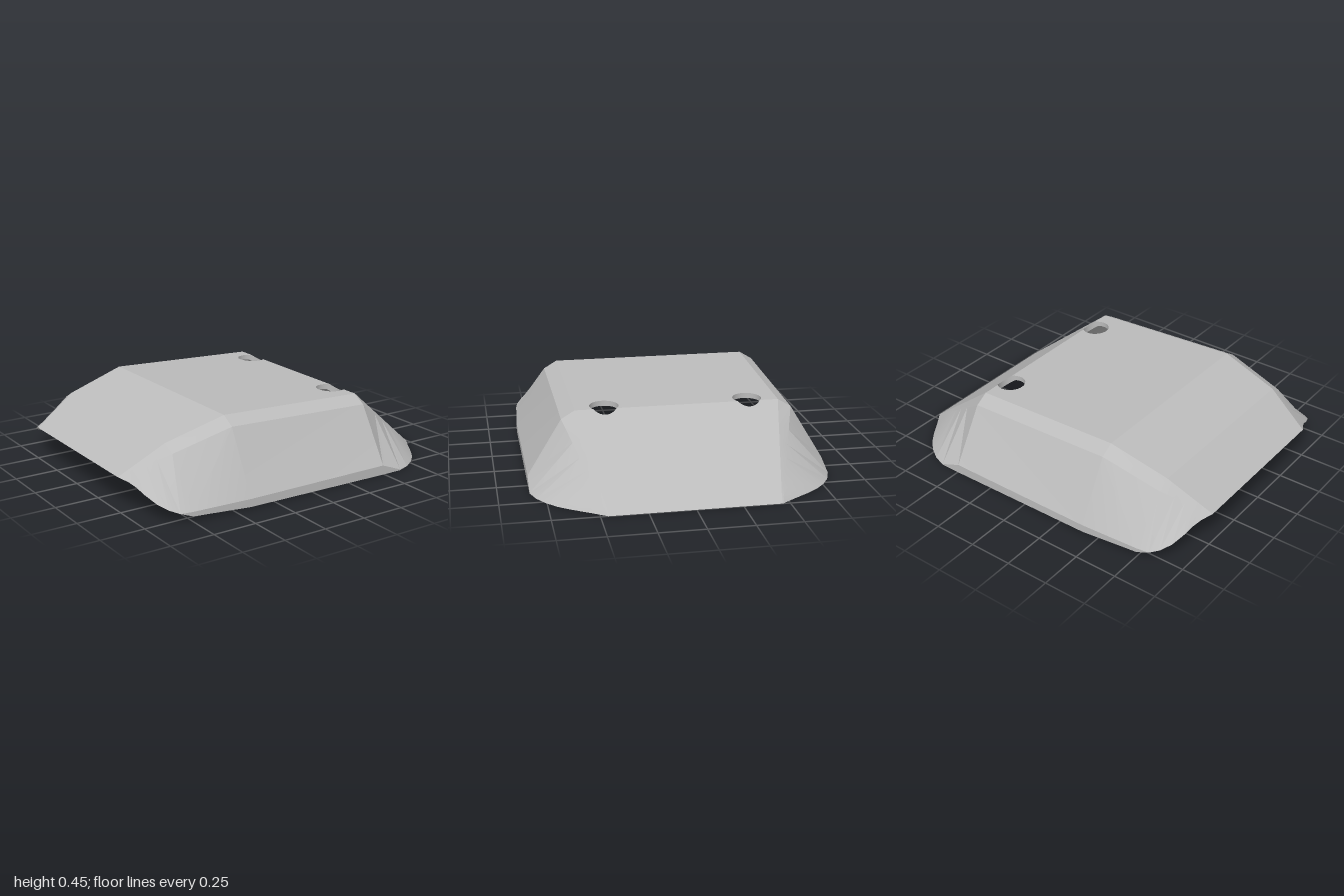
import * as THREE from 'three';
import { toCreasedNormals } from 'three/addons/utils/BufferGeometryUtils.js';

// Ridge lines along x: [x, top edge z, top y, shoulder z, shoulder y]
const RIDGE = [
  [-1, 0.48, 0.19, 0.48, 0.19],
  [-0.75, 0.54, 0.345, 0.61, 0.305],
  [-0.41, 0.575, 0.445, 0.65, 0.4],
  [0.49, 0.565, 0.41, 0.64, 0.365],
  [1, 0.455, 0, 0.46, 0],
];
// Open lower rim: [x, half width z, lower edge y, upper edge y of the upright band]
const RIM = [
  [-1, 0.48, 0.19, 0.19], [-0.97, 0.54, 0.175, 0.175], [-0.95, 0.59, 0.155, 0.155],
  [-0.94, 0.64, 0.135, 0.135], [-0.91, 0.72, 0.1, 0.1], [-0.87, 0.77, 0.075, 0.075],
  [-0.82, 0.8, 0.055, 0.055], [-0.75, 0.81, 0.03, 0.055], [-0.41, 0.83, 0.01, 0.055],
  [0.49, 0.83, 0, 0.055], [0.62, 0.83, 0, 0.005], [0.7, 0.8, 0, 0], [0.77, 0.755, 0, 0],
  [0.83, 0.7, 0, 0], [0.88, 0.635, 0, 0], [0.92, 0.575, 0, 0], [0.95, 0.53, 0, 0], [1, 0.46, 0, 0],
];
const OUTER = [1, 1, 1];
const INNER = [0.97, 0.93, 0.97]; // the inner skin is the outer one, shrunk
const HOLE = { x: 0.44, z: 0.4, r: 0.08 };
const CREASE = 3; // index of the rear edge in RIDGE that crosses the holes

function ridgeAt(x) {
  let i = 0;
  while (i < RIDGE.length - 2 && x > RIDGE[i + 1][0]) i++;
  const a = RIDGE[i], b = RIDGE[i + 1];
  const t = (x - a[0]) / (b[0] - a[0]);
  return a.map((v, k) => v + (b[k] - v) * t);
}
const topY = (x, s) => ridgeAt(x / s[0])[2] * s[1];

function meshOf(name, geometry, material) {
  const mesh = new THREE.Mesh(geometry, material);
  mesh.name = name;
  return mesh;
}

function surface(points, indices) {
  const g = new THREE.BufferGeometry();
  g.setAttribute('position', new THREE.Float32BufferAttribute(points.flat(), 3));
  g.setIndex(indices);
  return toCreasedNormals(g, 0.3);
}

// One flank: chamfer, sloped wall, upright band, rim and inner skin
function flankGeometry(side) {
  const points = [], indices = [];
  for (const [x, zr, yr, yb] of RIM) {
    const [, zt, yt, zs, ys] = ridgeAt(x);
    const outer = [[x, yt, zt], [x, ys, zs], [x, yb, zr], [x, yr, zr]];
    const inner = outer.map((p) => p.map((v, k) => v * INNER[k])).reverse();
    for (const [px, py, pz] of [...outer, ...inner]) points.push([px, py, pz * side]);
  }
  for (let i = 0; i < RIM.length - 1; i++) {
    for (let j = 0; j < 7; j++) {
      const a = i * 8 + j, b = a + 1, c = a + 8, d = a + 9;
      if (side > 0) indices.push(a, b, c, b, d, c);
      else indices.push(a, c, b, b, c, d);
    }
  }
  return surface(points, indices);
}

// Flat top panel between two ridge stations, notched where the holes cross the crease
function panelGeometry(i, s) {
  const [a, b] = [RIDGE[i], RIDGE[i + 1]];
  const xa = a[0] * s[0], xb = b[0] * s[0], za = a[1] * s[2], zb = b[1] * s[2];
  const open = Math.acos((RIDGE[CREASE][0] * s[0] - HOLE.x) / HOLE.r);
  const notch = (zc, from, to) => {
    const arc = [];
    for (let k = 0; k <= 24; k++) {
      const t = from + ((to - from) * k) / 24;
      arc.push(new THREE.Vector2(HOLE.x + HOLE.r * Math.cos(t), zc + HOLE.r * Math.sin(t)));
    }
    return arc;
  };
  const outline = [new THREE.Vector2(xa, -za), new THREE.Vector2(xb, -zb)];
  if (i + 1 === CREASE) {
    for (const z of [-HOLE.z, HOLE.z]) outline.push(...notch(z, 2 * Math.PI - open, open));
  }
  outline.push(new THREE.Vector2(xb, zb), new THREE.Vector2(xa, za));
  if (i === CREASE) {
    for (const z of [HOLE.z, -HOLE.z]) outline.push(...notch(z, open, -open));
  }
  const g = new THREE.ShapeGeometry(new THREE.Shape(outline));
  const pos = g.attributes.position;
  for (let k = 0; k < pos.count; k++) {
    const x = pos.getX(k), z = -pos.getY(k);
    pos.setXYZ(k, x, topY(x, s), z);
  }
  if (s === INNER) g.setIndex(Array.from(g.index.array).reverse());
  g.computeVertexNormals();
  return g;
}

// Wall of a hole, joining outer and inner skins
function holeGeometry() {
  const g = new THREE.CylinderGeometry(HOLE.r, HOLE.r, 1, 48, 1, true);
  const pos = g.attributes.position;
  for (let k = 0; k < pos.count; k++) {
    pos.setY(k, topY(HOLE.x + pos.getX(k), pos.getY(k) > 0 ? OUTER : INNER));
  }
  return g;
}

// Narrow lip closing the shell at its front or rear end
function lipGeometry(row, flip) {
  const [x, z, y] = row;
  const [sx, sy, sz] = INNER;
  const points = [[x, y, -z], [x, y, z], [x * sx, y * sy, z * sz], [x * sx, y * sy, -z * sz]];
  return surface(points, flip ? [0, 2, 1, 0, 3, 2] : [0, 1, 2, 0, 2, 3]);
}

export function createModel() {
  const model = new THREE.Group();
  model.name = 'shellCover';
  const grey = new THREE.MeshStandardMaterial({ color: 0xbcbcbc, side: THREE.DoubleSide });
  grey.name = 'light grey';

  for (let i = 0; i < RIDGE.length - 1; i++) {
    model.add(meshOf(`topPanel${i + 1}`, panelGeometry(i, OUTER), grey));
    model.add(meshOf(`innerPanel${i + 1}`, panelGeometry(i, INNER), grey));
  }
  for (const side of [1, -1]) {
    const label = side > 0 ? 'front' : 'back';
    model.add(meshOf(`${label}Flank`, flankGeometry(side), grey));
    const hole = meshOf(`${label}HoleWall`, holeGeometry(), grey);
    hole.position.set(HOLE.x, 0, side * HOLE.z);
    model.add(hole);
  }
  model.add(meshOf('noseLip', lipGeometry(RIDGE[0], true), grey));
  model.add(meshOf('tailLip', lipGeometry(RIDGE[4], false), grey));
  return model;
}
